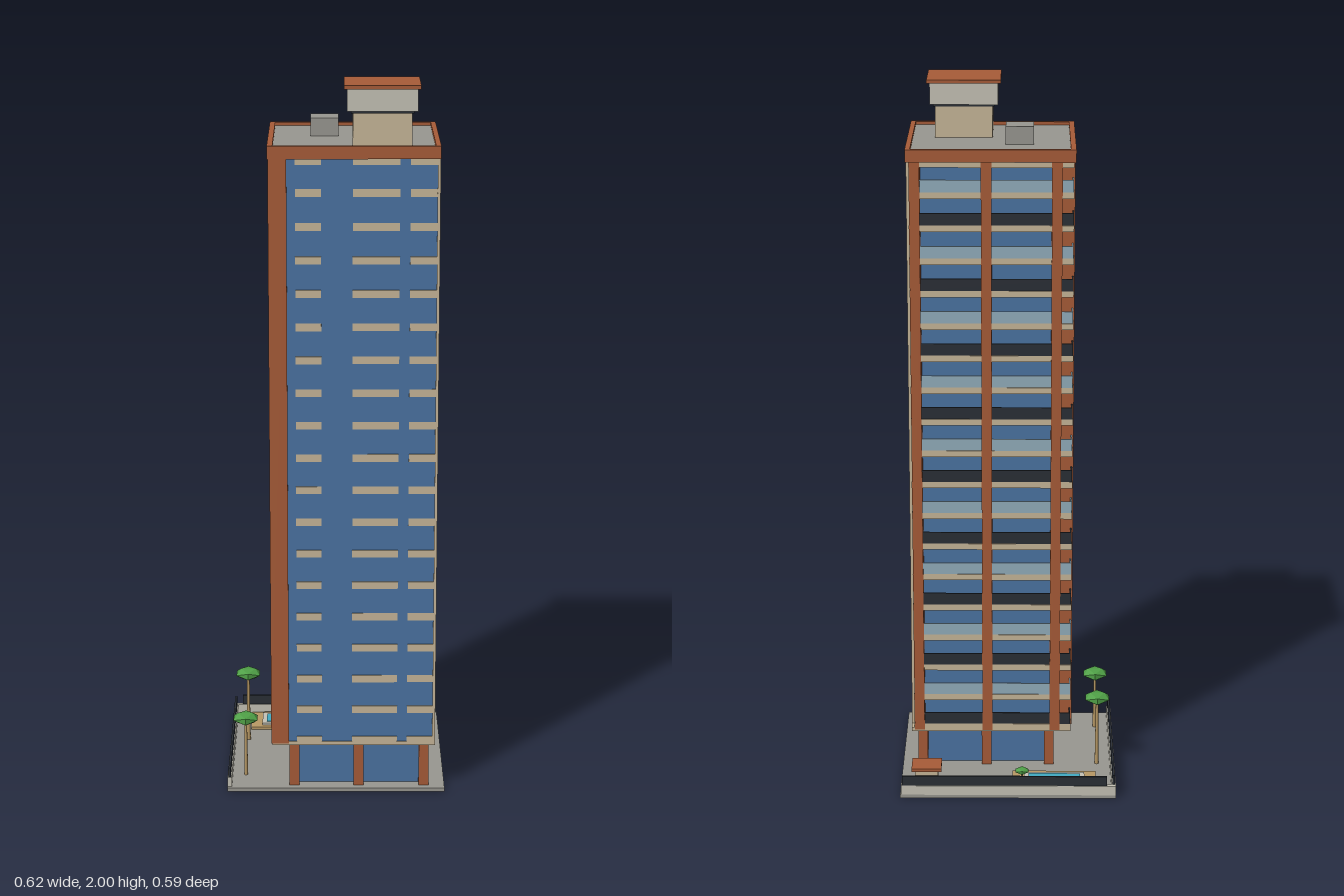
import * as THREE from 'three';

const mat = (name, color) => {
  const m = new THREE.MeshStandardMaterial({ color });
  m.name = name;
  return m;
};

export function createModel() {
  const clay = mat('terracotta', 0xa85c38);
  const beige = mat('beige render', 0xc8b799);
  const glass = mat('blue glass', 0x4b74a3);
  const concrete = mat('grey concrete', 0x999891);
  const dark = mat('dark metal', 0x2a2f36);
  const pale = mat('pale stone', 0xc6c3b6);
  const railGlass = mat('rail glass', 0x93aebd);
  const timber = mat('timber', 0xb99a66);
  const water = mat('water', 0x42abc3);
  const leaf = mat('leaf', 0x4f9f46);
  leaf.flatShading = true;

  const model = new THREE.Group();
  const group = (name) => {
    const g = new THREE.Group();
    g.name = name;
    model.add(g);
    return g;
  };
  // Box given by its limits on each axis
  const box = (parent, name, material, x0, x1, y0, y1, z0, z1) => {
    const m = new THREE.Mesh(new THREE.BoxGeometry(x1 - x0, y1 - y0, z1 - z0), material);
    m.position.set((x0 + x1) / 2, (y0 + y1) / 2, (z0 + z1) / 2);
    m.name = name;
    parent.add(m);
    return m;
  };

  // Plot and boundary walls
  const site = group('site');
  box(site, 'ground', concrete, -0.308, 0.308, 0, 0.01, -0.296, 0.294);
  box(site, 'backWall', pale, -0.308, 0.305, 0.01, 0.038, -0.296, -0.284);
  box(site, 'backFence', dark, -0.282, 0.302, 0.038, 0.066, -0.293, -0.287);
  box(site, 'leftWall', pale, -0.308, -0.296, 0.01, 0.038, -0.284, 0.282);
  box(site, 'leftFence', dark, -0.305, -0.299, 0.038, 0.066, -0.282, 0.28);

  // Pool
  const pool = group('pool');
  box(pool, 'deck', timber, -0.253, -0.012, 0.01, 0.018, -0.273, -0.148);
  box(pool, 'rim', pale, -0.22, -0.045, 0.018, 0.023, -0.253, -0.167);
  box(pool, 'water', water, -0.207, -0.058, 0.022, 0.025, -0.242, -0.18);

  // Small pavilion
  const hut = group('pavilion');
  box(hut, 'hutWalls', beige, 0.2, 0.265, 0.01, 0.075, -0.274, -0.214);
  box(hut, 'hutRoof', clay, 0.19, 0.275, 0.075, 0.084, -0.283, -0.206);

  // Trees: position, crown height, crown radius
  for (const [x, z, y, r] of [[-0.258, -0.075, 0.218, 0.04], [-0.258, 0.192, 0.183, 0.04], [-0.04, -0.243, 0.062, 0.022]]) {
    const tree = group('tree');
    const trunk = new THREE.Mesh(new THREE.CylinderGeometry(r * 0.1, r * 0.16, y - 0.01, 6), timber);
    trunk.position.set(x, 0.01 + (y - 0.01) / 2, z);
    trunk.name = 'trunk';
    const crown = new THREE.Mesh(new THREE.IcosahedronGeometry(r, 0), leaf);
    crown.scale.y = 0.45;
    crown.position.set(x, y, z);
    crown.name = 'crown';
    tree.add(trunk, crown);
  }

  // Ground floor: glazed lobby and legs
  const lobby = group('lobby');
  box(lobby, 'lobbyGlass', glass, -0.107, 0.237, 0.01, 0.14, -0.06, 0.246);
  for (const x of [-0.132, 0.05, 0.235])
    for (const z of [-0.085, 0.08, 0.243])
      if (x !== 0.05 || z !== 0.08) box(lobby, 'leg', clay, x, x + 0.028, 0.01, 0.14, z, z + 0.028);

  // Tower body, side wall
  const tower = group('tower');
  box(tower, 'glassBody', glass, -0.134, 0.272, 0.145, 1.81, -0.086, 0.276);
  box(tower, 'sideWall', beige, 0.272, 0.28, 0.135, 1.81, -0.098, 0.28);

  // Floors: slabs, front bands and balcony rails
  const floors = 18, y0 = 0.14, step = 0.0922;
  for (let i = 0; i <= floors; i++) {
    const y = y0 + i * step - (i === floors ? 0.006 : 0);
    box(tower, 'slab', beige, -0.18, 0.272, y, y + 0.018, -0.13, 0.272);
    for (const [a, b] of [[-0.11, -0.04], [0.045, 0.172], [0.2, 0.273]])
      box(tower, 'frontBand', beige, a, b, y, y + 0.021, 0.274, 0.279);
    if (i === floors) continue;
    const rail = i % 2 ? railGlass : dark;
    box(tower, 'backRail', rail, -0.179, 0.27, y + 0.018, y + 0.052, -0.129, -0.125);
    box(tower, 'leftRail', rail, -0.179, -0.175, y + 0.018, y + 0.052, -0.125, 0.262);
  }
  box(tower, 'bottomEdge', beige, -0.18, 0.28, 0.135, 0.146, -0.13, 0.28);

  // Outer columns on the balcony faces
  for (const x of [-0.148, 0.046, 0.242])
    box(tower, 'backColumn', clay, x, x + 0.029, 0.14, 1.81, -0.133, -0.086);
  for (const z of [-0.09, 0.08, 0.252])
    box(tower, 'leftColumn', clay, -0.183, -0.133, 0.14, 1.81, z, z + 0.029);

  // Roof and parapet
  const roof = group('roof');
  box(roof, 'roofDeck', concrete, -0.175, 0.272, 1.808, 1.836, -0.132, 0.275);
  box(roof, 'parapetFront', clay, -0.185, 0.281, 1.81, 1.845, 0.271, 0.284);
  box(roof, 'parapetBack', clay, -0.185, 0.281, 1.81, 1.845, -0.141, -0.128);
  box(roof, 'parapetLeft', clay, -0.185, -0.17, 1.81, 1.845, -0.128, 0.271);
  box(roof, 'parapetRight', clay, 0.267, 0.281, 1.81, 1.845, -0.128, 0.271);

  // Rooftop tank house and plant box
  box(roof, 'stairHouse', beige, 0.045, 0.205, 1.836, 1.926, 0.078, 0.222);
  box(roof, 'tank', pale, 0.03, 0.22, 1.93, 1.99, 0.069, 0.232);
  box(roof, 'tankBase', dark, 0.04, 0.21, 1.924, 1.931, 0.074, 0.227);
  box(roof, 'tankRoof', clay, 0.022, 0.228, 1.99, 2.0, 0.062, 0.237);
  box(roof, 'plantBox', concrete, -0.07, 0.008, 1.836, 1.886, -0.02, 0.057);

  return model;
}
